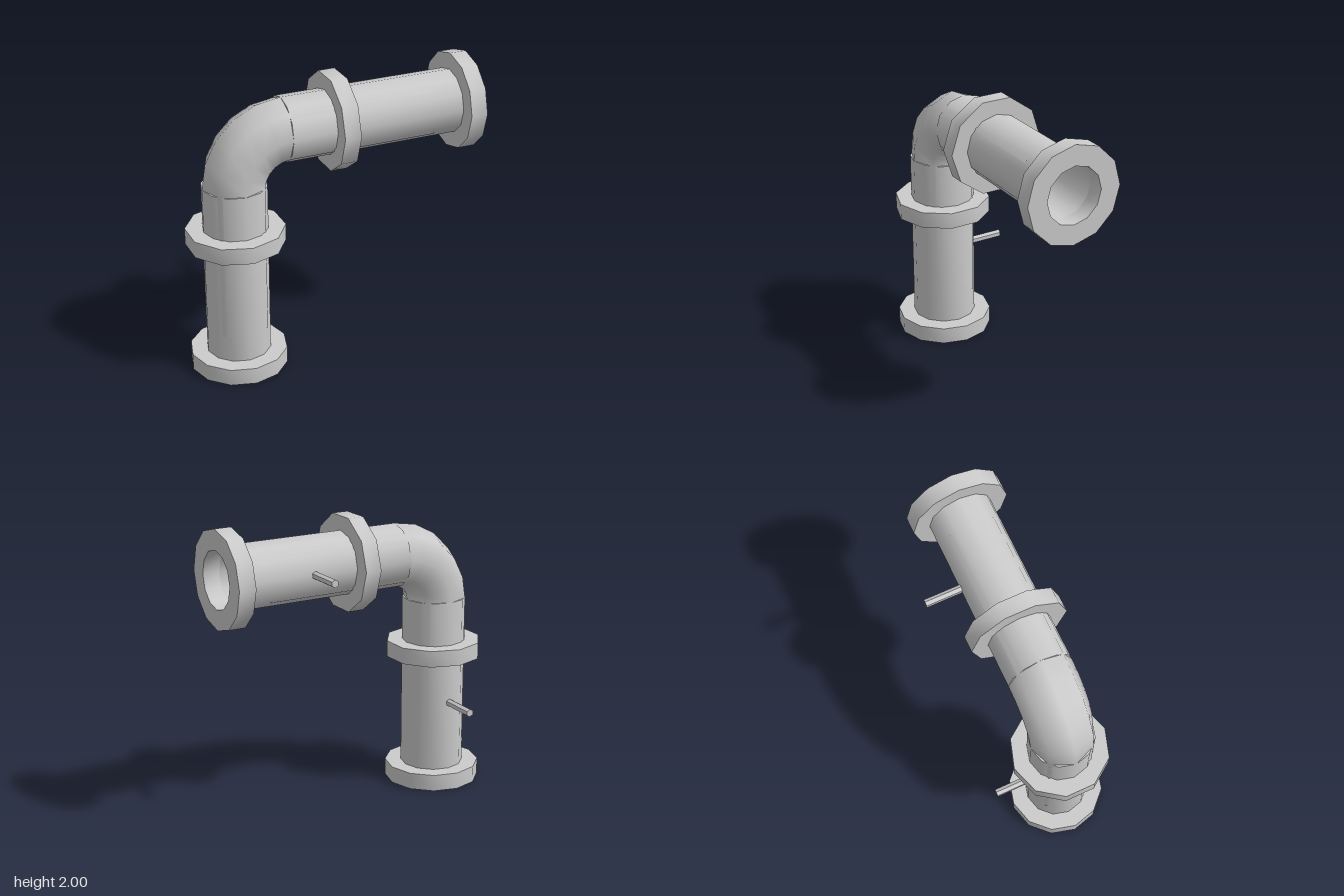
import * as THREE from 'three';
import { toCreasedNormals } from 'three/addons/utils/BufferGeometryUtils.js';

const AXIS_Z = 0.066;   // pipe centre line offset
const LEG = 1.333;      // length of each straight leg
const BEND = 0.333;     // elbow centre-line radius
const PIPE_R = 0.22, BORE_R = 0.195, FLANGE_R = 0.333;

const grey = new THREE.MeshStandardMaterial({ color: 0xcccccc });
const greyDouble = new THREE.MeshStandardMaterial({ color: 0xcccccc, side: THREE.DoubleSide });
const greyFlat = new THREE.MeshStandardMaterial({ color: 0xcccccc, flatShading: true });

function part(name, geometry, material = grey) {
  const mesh = new THREE.Mesh(geometry, material);
  mesh.name = name;
  return mesh;
}

// Hollow ring between two heights, smooth around and sharp at the rims
function ring(inner, outer, y0, y1, sides) {
  const profile = [[inner, y0], [outer, y0], [outer, y1], [inner, y1], [inner, y0]]
    .map(([r, y]) => new THREE.Vector2(r, y));
  return toCreasedNormals(new THREE.LatheGeometry(profile, sides), 0.8);
}

// Straight leg rising from its open flanged end to the elbow
function makeLeg(name) {
  const leg = new THREE.Group();
  leg.name = name;
  leg.add(part('endFlange', ring(BORE_R, FLANGE_R, 0, 0.117, 12)));
  leg.add(part('pipe', ring(BORE_R, PIPE_R, 0.117, LEG, 12)));
  leg.add(part('coupling', ring(0.212, FLANGE_R, 0.913, 1.027, 10)));
  // eight-sided sleeve continuing the elbow over the pipe
  const sleeve = new THREE.CylinderGeometry(PIPE_R, PIPE_R, LEG - 0.3, 8, 1, true);
  sleeve.translate(0, (LEG + 0.3) / 2, 0);
  leg.add(part('sleeve', sleeve, greyDouble));
  return leg;
}

// Thin hexagonal mounting rod pointing backwards
function makeRod(name, x, y) {
  const zFront = -0.135, zBack = -0.4;
  const geometry = new THREE.CylinderGeometry(0.0275, 0.0275, zFront - zBack, 6);
  geometry.rotateX(Math.PI / 2);
  const rod = part(name, geometry, greyFlat);
  rod.position.set(x, y, (zFront + zBack) / 2);
  return rod;
}

export function createModel() {
  const model = new THREE.Group();
  model.name = 'pipeElbow';
  const legX = -BEND * 2, legY = LEG + BEND;

  // Upright leg and horizontal leg
  const upright = makeLeg('uprightLeg');
  upright.position.set(legX, 0, AXIS_Z);
  const horizontal = makeLeg('horizontalLeg');
  horizontal.rotation.z = Math.PI / 2;
  horizontal.position.set(1, legY, AXIS_Z);

  // Quarter-turn elbow joining the legs
  const bend = new THREE.TorusGeometry(BEND, PIPE_R, 8, 5, Math.PI / 2);
  bend.rotateZ(Math.PI / 2);
  const elbow = part('elbow', bend, greyDouble);
  elbow.position.set(legX + BEND, LEG, AXIS_Z);

  model.add(upright, horizontal, elbow,
    makeRod('lowerRod', legX, 0.607), makeRod('upperRod', 0.397, legY));
  return model;
}
